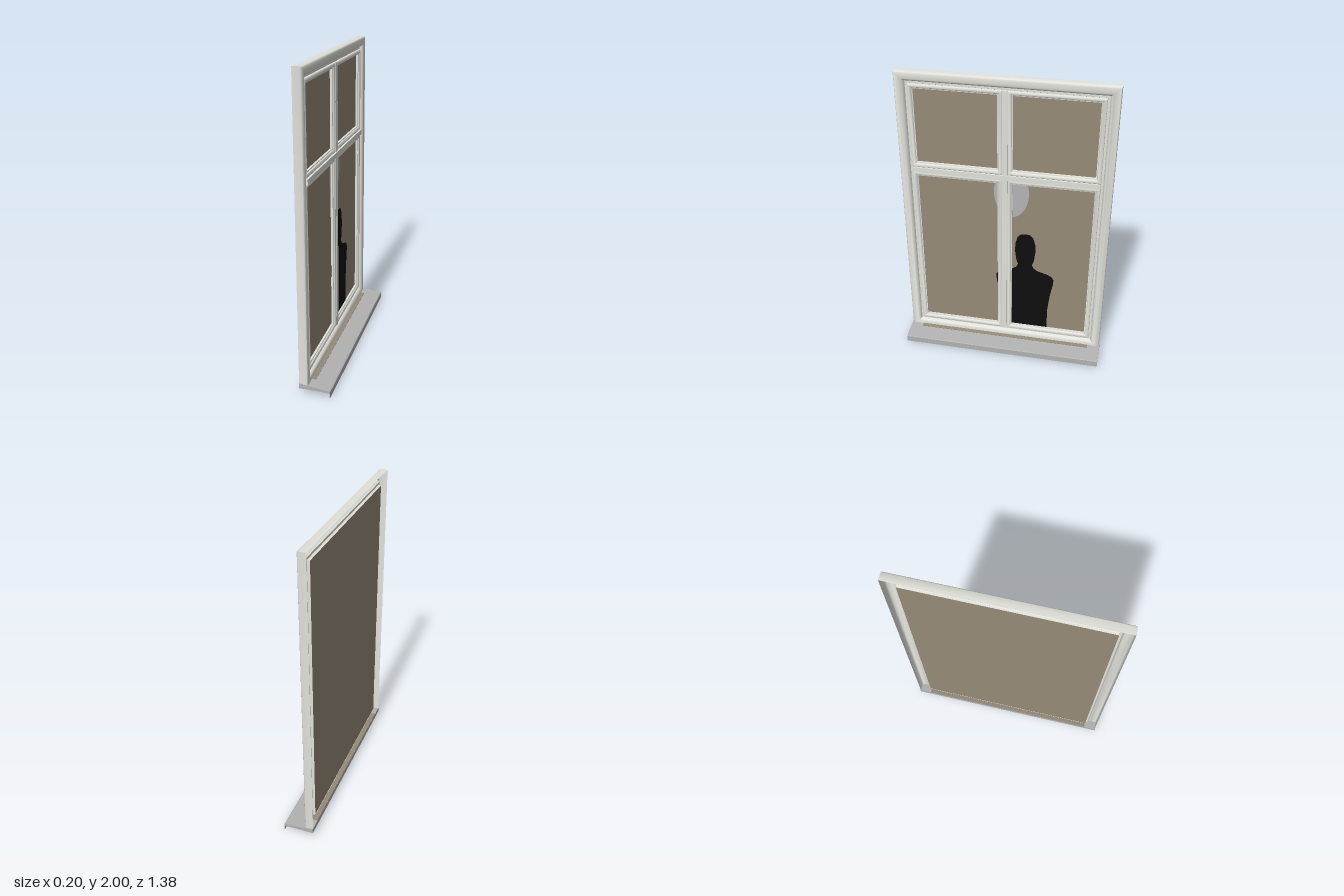
import * as THREE from 'three';
import { toCreasedNormals } from 'three/addons/utils/BufferGeometryUtils.js';

const mat = (name, color) => new THREE.MeshStandardMaterial({ name, color, side: THREE.DoubleSide });

// Mitred rectangular moulding: profile is a list of [inset from outer edge, x]
function ring(z0, z1, y0, y1, profile) {
  const pos = [], idx = [], n = profile.length;
  for (const [cz, cy] of [[1, 0], [0, 0], [0, 1], [1, 1]]) {
    for (const [d, x] of profile) {
      pos.push(x, cy ? y1 - d : y0 + d, cz ? z1 - d : z0 + d);
    }
  }
  for (let i = 0; i < 4; i++) {
    for (let j = 0; j < n - 1; j++) {
      const a = i * n + j, b = ((i + 1) % 4) * n + j;
      idx.push(a, b, b + 1, a, b + 1, a + 1);
    }
  }
  const g = new THREE.BufferGeometry();
  g.setAttribute('position', new THREE.Float32BufferAttribute(pos, 3));
  g.setIndex(idx);
  return toCreasedNormals(g, 0.7);
}

export function createModel() {
  const group = new THREE.Group();
  const white = mat('frame white', 0xe2e2dc);
  const grey = mat('sill grey', 0xb2b2b2);
  const brown = mat('pane brown', 0x968b78);
  const black = mat('silhouette black', 0x0e0e0e);
  const pale = mat('lamp grey', 0xb4b4b6);

  const add = (name, geometry, material, x = 0, y = 0, z = 0) => {
    const m = new THREE.Mesh(geometry, material);
    m.name = name;
    m.position.set(x, y, z);
    group.add(m);
    return m;
  };
  // Flat shape drawn with horizontal = -z, turned to face +x
  const flat = (name, shape, material, x) =>
    add(name, new THREE.ShapeGeometry(shape, 24).rotateY(Math.PI / 2), material, x);

  // Outer casing, open at the back
  add('outerFrame', ring(-0.685, 0.685, 0.035, 2, [
    [0, -0.1], [0, -0.052], [0.004, -0.046], [0.012, -0.042], [0.03, -0.042],
    [0.046, -0.045], [0.056, -0.052], [0.062, -0.062], [0.064, -0.068],
    [0.078, -0.068], [0.08, -0.072], [0.08, -0.085],
  ]), white);

  // Sash mouldings around the four panes
  const sash = [
    [0, -0.082], [0, -0.06], [0.004, -0.056], [0.014, -0.055],
    [0.022, -0.059], [0.026, -0.066], [0.032, -0.068], [0.032, -0.082],
  ];
  for (const side of [-1, 1]) {
    const z0 = side < 0 ? -0.605 : 0.017, z1 = side < 0 ? -0.017 : 0.605;
    add('upperSash', ring(z0, z1, 1.357, 1.92, sash), white);
    add('lowerSash', ring(z0, z1, 0.113, 1.322, sash), white);
  }

  // Glazing bars
  add('transom', new THREE.BoxGeometry(0.034, 0.034, 1.21), white, -0.064, 1.34, 0);
  add('mullion', new THREE.BoxGeometry(0.026, 1.81, 0.034), white, -0.067, 1.015, 0);

  // Single backing pane
  add('pane', new THREE.PlaneGeometry(1.21, 1.81).rotateY(Math.PI / 2), brown, -0.083, 1.015, 0);

  // Hanging lamp seen through the glass
  const lamp = new THREE.Shape();
  lamp.absellipse(0.04, 1.22, 0.115, 0.18, 0, Math.PI * 2);
  flat('lamp', lamp, pale, -0.081);

  // Standing figure: mirrored half outline of [half width, y]
  const half = [
    [0.165, 0.13], [0.165, 0.3], [0.178, 0.42], [0.198, 0.53], [0.2, 0.565], [0.185, 0.59],
    [0.155, 0.607], [0.09, 0.625], [0.06, 0.645], [0.048, 0.67], [0.06, 0.705],
    [0.07, 0.78], [0.067, 0.84], [0.053, 0.89], [0.03, 0.912], [0, 0.917],
  ];
  const outline = [...half, ...half.slice(0, -1).reverse().map(([w, y]) => [-w, y])];
  flat('figure', new THREE.Shape(outline.map(([w, y]) => new THREE.Vector2(0.138 + w, y))), black, -0.08);

  // Sloping sill with a drip lip
  const sill = new THREE.Shape([
    [-0.1, 0.035], [0.02, 0.035], [0.094, 0.03], [0.096, 0], [0.1, 0], [0.1, 0.042],
    [0.095, 0.046], [-0.1, 0.068],
  ].map(([x, y]) => new THREE.Vector2(x, y)));
  add('sill', new THREE.ExtrudeGeometry(sill, { depth: 1.38, bevelEnabled: false }), grey, 0, 0, -0.69);

  // Brown strip lying on the sill
  const strip = add('sillStrip', new THREE.BoxGeometry(0.085, 0.003, 1.21), brown, -0.0575, 0.0645, 0);
  strip.rotation.z = -Math.atan2(0.022, 0.195);

  return group;
}
